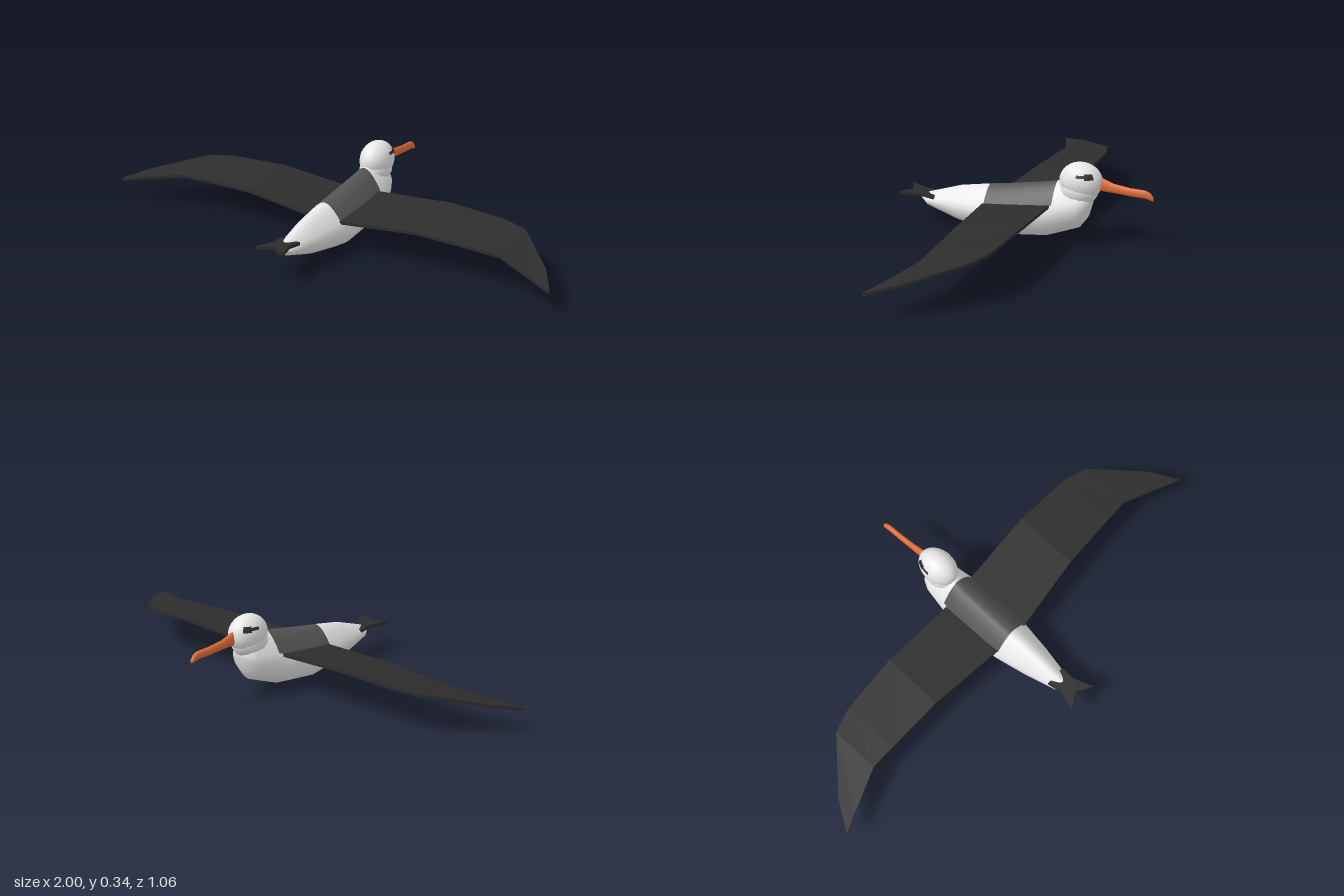
import * as THREE from 'three';

const mat = (name, color) => {
  const m = new THREE.MeshStandardMaterial({ color });
  m.name = name;
  return m;
};

// Smooth loft along z through egg-shaped rings [z, bottom, top, halfWidth], ordered from +z to -z.
// isSecond(ring, side) sends a quad to the second material.
function loft(rings, sides, taper, isSecond = () => false) {
  const pos = [], first = [], second = [];
  rings.forEach(([z, bottom, top, rx]) => {
    for (let j = 0; j < sides; j++) {
      const a = (j / sides) * Math.PI * 2, s = Math.sin(a);
      pos.push(rx * Math.cos(a) * (1 - taper * Math.max(0, s)),
        (bottom + top) / 2 + s * (top - bottom) / 2, z);
    }
  });
  for (let i = 0; i < rings.length - 1; i++) {
    for (let j = 0; j < sides; j++) {
      const k = (j + 1) % sides;
      const a = i * sides + j, b = a + sides, c = (i + 1) * sides + k, d = i * sides + k;
      (isSecond(i, j) ? second : first).push(a, b, c, a, c, d);
    }
  }
  const g = new THREE.BufferGeometry();
  g.setAttribute('position', new THREE.Float32BufferAttribute(pos, 3));
  g.setIndex([...first, ...second]);
  g.addGroup(0, first.length, 0);
  g.addGroup(first.length, second.length, 1);
  g.computeVertexNormals();
  return g;
}

// Wing stations: x, leading edge z and y, trailing edge z and y
const STATIONS = [
  [0.03, -0.13, 0.168, 0.16, 0.138],
  [0.4, -0.145, 0.19, 0.12, 0.16],
  [0.65, -0.13, 0.182, 0.112, 0.152],
  [0.75, -0.1, 0.175, 0.11, 0.147],
  [0.93, 0.09, 0.132, 0.18, 0.118],
  [1, 0.203, 0.109, 0.21, 0.108],
];

// Faceted slab following the wing, inset from both edges by a fraction of the chord
function wingSlab(side, stations, inset, drop, thick) {
  const zs = side > 0 ? 1 : 0.94, ys = side > 0 ? 1 : 0.97;
  const rings = stations.map(([x, lz, ly, tz, ty]) => {
    const at = (t, down) => [side * x, (ly + (ty - ly) * t) * ys - down, (lz + (tz - lz) * t) * zs];
    return [at(inset, drop), at(1 - inset, drop), at(1 - inset, drop + thick), at(inset, drop + thick)];
  });
  const pos = [];
  const quad = (a, b, c, d) => {
    const order = side > 0 ? [a, b, c, a, c, d] : [a, c, b, a, d, c];
    order.forEach((p) => pos.push(...p));
  };
  for (let i = 0; i < rings.length - 1; i++) {
    for (let j = 0; j < 4; j++) {
      const k = (j + 1) % 4;
      quad(rings[i][j], rings[i][k], rings[i + 1][k], rings[i + 1][j]);
    }
  }
  quad(...rings[0].slice().reverse());
  quad(...rings[rings.length - 1]);
  const g = new THREE.BufferGeometry();
  g.setAttribute('position', new THREE.Float32BufferAttribute(pos, 3));
  g.computeVertexNormals();
  return g;
}

export function createModel() {
  const model = new THREE.Group();
  model.name = 'seabird';
  const white = mat('white plumage', 0xe8e8e8);
  const dark = mat('dark plumage', 0x2d2d2d);
  const slate = mat('slate back', 0x555555);
  const pale = mat('pale underwing', 0xdcdcdc);
  const orange = mat('orange beak', 0xe26d39);
  const add = (name, geometry, material, parent = model) => {
    const m = new THREE.Mesh(geometry, material);
    m.name = name;
    parent.add(m);
    return m;
  };

  // Body, with a slate saddle between the wings
  const bodyRings = [
    [0.455, 0.115, 0.115, 0],
    [0.448, 0.104, 0.122, 0.016],
    [0.42, 0.08, 0.135, 0.036],
    [0.28, 0.035, 0.18, 0.068],
    [0.15, 0.012, 0.202, 0.091],
    [0.08, 0.002, 0.212, 0.1],
    [-0.1, 0.02, 0.243, 0.095],
    [-0.14, 0.034, 0.252, 0.088],
    [-0.235, 0.07, 0.26, 0.072],
    [-0.265, 0.11, 0.24, 0.056],
    [-0.28, 0.16, 0.2, 0.03],
    [-0.282, 0.18, 0.18, 0],
  ];
  add('body', loft(bodyRings, 24, 0.4, (i, j) => i >= 4 && i < 7 && j >= 1 && j <= 10), [white, slate]);

  // Neck, filling in below the skull
  const neck = add('neck', new THREE.SphereGeometry(1, 24, 16), white);
  neck.scale.set(0.062, 0.06, 0.08);
  neck.position.set(0, 0.225, -0.228);

  // Head
  const head = new THREE.Group();
  head.name = 'head';
  head.position.set(0, 0.262, -0.237);
  model.add(head);
  add('skull', new THREE.SphereGeometry(1, 24, 16), white, head).scale.set(0.065, 0.076, 0.088);

  // Eye streaks, wrapped on the skull: a fine line behind a broader patch
  for (const [name, patch, line] of [
    ['leftEye', Math.PI + 0.4, Math.PI - 0.02],
    ['rightEye', 2 * Math.PI - 0.88, 2 * Math.PI - 0.4],
  ]) {
    const eye = new THREE.Group();
    eye.name = name;
    eye.scale.set(0.0665, 0.0775, 0.0895);
    head.add(eye);
    add('eyePatch', new THREE.SphereGeometry(1, 8, 4, patch, 0.48, 0.96, 0.32), dark, eye);
    add('eyeLine', new THREE.SphereGeometry(1, 8, 2, line, 0.42, 1.04, 0.16), dark, eye);
  }

  // Hooked beak
  const beakRings = [
    [-0.29, 0.225, 0.292, 0.014],
    [-0.325, 0.23, 0.284, 0.013],
    [-0.37, 0.228, 0.267, 0.011],
    [-0.44, 0.223, 0.257, 0.01],
    [-0.5, 0.221, 0.255, 0.01],
    [-0.52, 0.217, 0.247, 0.009],
    [-0.533, 0.213, 0.23, 0.006],
    [-0.535, 0.218, 0.218, 0],
  ];
  add('beak', loft(beakRings, 12, 0), orange);

  // Wings with pale lining beneath
  for (const [name, side] of [['leftWing', 1], ['rightWing', -1]]) {
    const wing = new THREE.Group();
    wing.name = name;
    model.add(wing);
    add('wingBlade', wingSlab(side, STATIONS, 0, 0, 0.012), dark, wing);
    add('wingLining', wingSlab(side, STATIONS.slice(0, 5), 0.17, 0.01, 0.005), pale, wing);
  }

  // Forked tail
  const fork = new THREE.Shape([
    [-0.043, 0.385], [0.043, 0.385], [0.036, 0.44], [0.063, 0.528], [0, 0.49], [-0.063, 0.528], [-0.036, 0.44],
  ].map(([x, z]) => new THREE.Vector2(x, z)));
  const tail = add('tail', new THREE.ExtrudeGeometry(fork, { depth: 0.013, bevelEnabled: false }), dark);
  tail.rotation.x = Math.PI / 2 - 0.08;
  tail.position.y = 0.1;
  return model;
}
